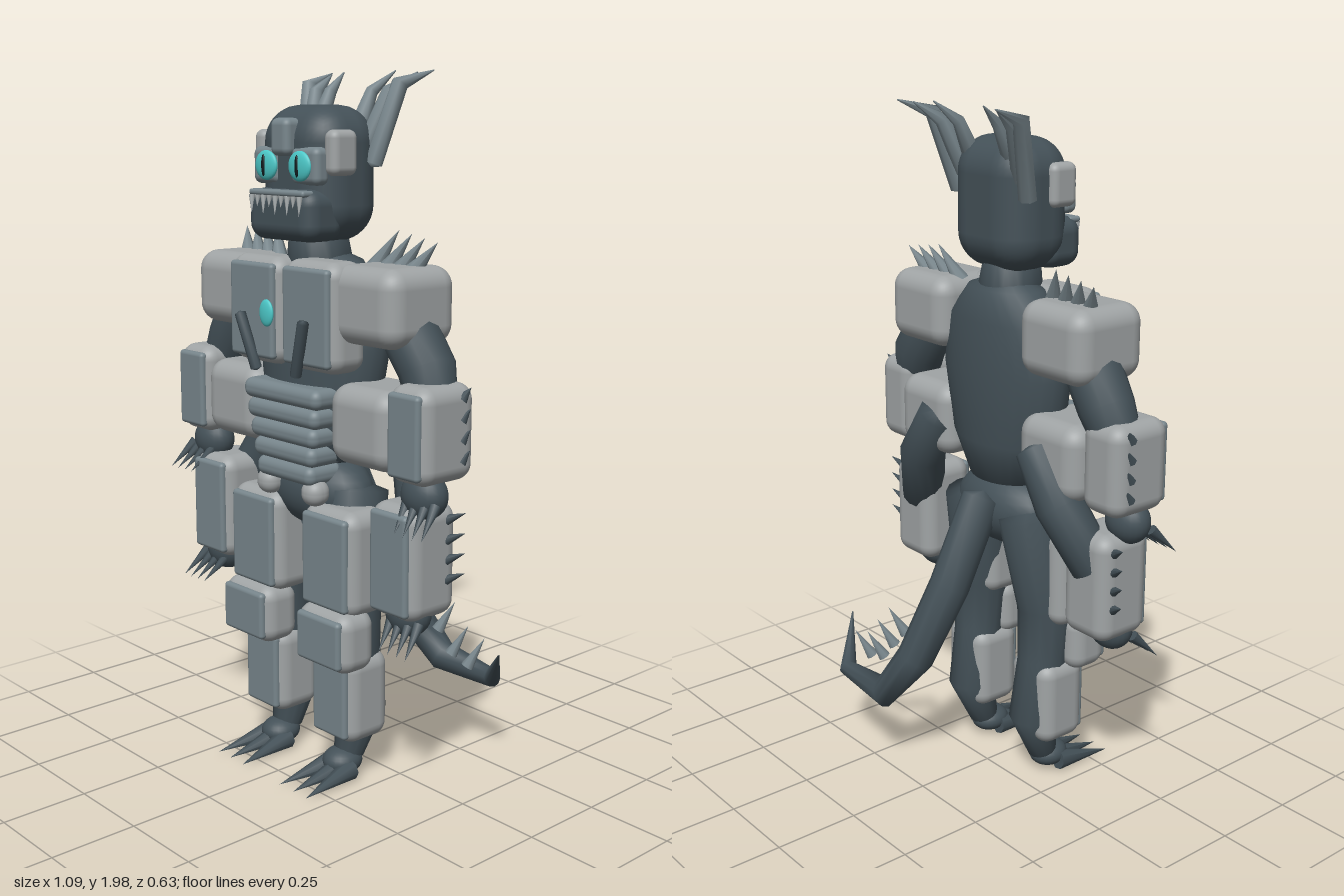
import * as THREE from 'three';
import { RoundedBoxGeometry } from 'three/addons/geometries/RoundedBoxGeometry.js';

const mat = (name, color) => Object.assign(new THREE.MeshStandardMaterial({ color }), { name });

export function createModel() {
  const skin = mat('dark skin', 0x445158);
  const armor = mat('light armour', 0xa0a4a5);
  const panel = mat('armour panel', 0x77858b);
  const glow = mat('cyan', 0x4cc8c8);
  const pupil = mat('pupil black', 0x10191c);
  const tooth = mat('tooth', 0xb9bfc0);
  const model = new THREE.Group();
  model.name = 'armouredCreature';

  const add = (name, geo, material) => {
    const m = new THREE.Mesh(geo, material);
    m.name = name;
    model.add(m);
    return m;
  };

  // Rounded block given by its ranges on each axis
  const block = (name, material, [x0, x1], [y0, y1], [z0, z1], r = 0.03) => {
    const w = Math.abs(x1 - x0), h = y1 - y0, d = z1 - z0;
    const m = add(name, new RoundedBoxGeometry(w, h, d, 4, Math.min(r, w / 2.01, h / 2.01, d / 2.01)), material);
    m.position.set((x0 + x1) / 2, (y0 + y1) / 2, (z0 + z1) / 2);
    return m;
  };

  // Armour block with a darker plate on its front
  const plated = (name, s, [x0, x1], y, z, r = 0.035) => {
    block(name, armor, [s * x0, s * x1], y, z, r);
    const b = 0.018;
    block(name + 'Panel', panel, [s * (x0 + b), s * (x1 - b)], [y[0] + b, y[1] - b], [z[1] - 0.02, z[1] + 0.006], 0.012);
  };

  const ball = (name, material, [x, y, z], [a, b, c]) => {
    const m = add(name, new THREE.SphereGeometry(1, 24, 16), material);
    m.scale.set(a, b, c);
    m.position.set(x, y, z);
    return m;
  };

  // Cone from a base point to a tip
  const spike = (name, material, base, tip, r) => {
    const a = new THREE.Vector3(...base), d = new THREE.Vector3(...tip).sub(a);
    const m = add(name, new THREE.ConeGeometry(r, d.length(), 8), material);
    m.position.copy(a).addScaledVector(d, 0.5);
    m.quaternion.setFromUnitVectors(new THREE.Vector3(0, 1, 0), d.normalize());
    return m;
  };

  // Tapered limb through [x, y, z, radius, depth ratio] stations, with domed ends
  const limb = (name, material, stations, sides = 14) => {
    const st = stations.map(([x, y, z, r, k = 1]) => ({ p: new THREE.Vector3(x, y, z), r, k }));
    const cap = (e, n) => ({ p: e.p.clone().add(e.p.clone().sub(n.p).setLength(e.r * 0.35 + 0.001)), r: 0.0005, k: e.k });
    const rings = [cap(st[0], st[1]), ...st, cap(st.at(-1), st.at(-2))];
    const pos = [], idx = [];
    rings.forEach((ring, i) => {
      const t = rings[Math.min(i + 1, rings.length - 1)].p.clone().sub(rings[Math.max(i - 1, 0)].p).normalize();
      const u = t.clone().cross(new THREE.Vector3(0, 0, 1)).normalize(), v = t.clone().cross(u);
      for (let j = 0; j < sides; j++) {
        const a = (j / sides) * Math.PI * 2;
        const q = ring.p.clone().addScaledVector(u, Math.cos(a) * ring.r).addScaledVector(v, Math.sin(a) * ring.r * ring.k);
        pos.push(q.x, q.y, q.z);
        if (i) {
          const n = (j + 1) % sides, lo = (i - 1) * sides, hi = i * sides;
          idx.push(lo + j, lo + n, hi + j, lo + n, hi + n, hi + j);
        }
      }
    });
    const g = new THREE.BufferGeometry();
    g.setAttribute('position', new THREE.Float32BufferAttribute(pos, 3));
    g.setIndex(idx);
    g.computeVertexNormals();
    return add(name, g, material);
  };

  // Torso, neck and pelvis
  limb('torso', skin, [[0, 0.93, 0.09, 0.14, 0.75], [0, 1.05, 0.08, 0.2, 0.62], [0, 1.25, 0.07, 0.24, 0.5],
    [0, 1.39, 0.07, 0.215, 0.5], [0, 1.48, 0.07, 0.13, 0.7]], 28);
  limb('neck', skin, [[0, 1.42, 0.08, 0.1], [0, 1.56, 0.09, 0.08]], 20);
  ball('pelvis', skin, [0, 0.83, 0.08], [0.19, 0.115, 0.11]);

  // Belly bands
  for (let i = 0; i < 5; i++) {
    const w = 0.16 - i * 0.01, y = 1.145 - i * 0.055;
    block('bellyBand', panel, [-w, w], [y - 0.057, y], [0.1, 0.24 - i * 0.003], 0.025);
  }
  ball('chestGem', glow, [0, 1.345, 0.275], [0.028, 0.037, 0.01]);

  // Head and muzzle
  block('head', skin, [-0.15, 0.15], [1.53, 1.895], [-0.035, 0.205], 0.1);
  block('muzzle', skin, [-0.135, 0.135], [1.535, 1.675], [0.1, 0.24], 0.045);
  block('upperLip', panel, [-0.115, 0.115], [1.655, 1.672], [0.2, 0.242], 0.008);
  block('browCrest', panel, [-0.037, 0.037], [1.76, 1.86], [0.17, 0.232], 0.02);
  for (let i = -4; i <= 4; i++) {
    const x = i * 0.025;
    spike('tooth', tooth, [x, 1.657, 0.24], [x, i % 2 ? 1.625 : 1.605, 0.243], 0.009);
  }

  for (const s of [1, -1]) {
    // Face
    block('eyeSocket', panel, [s * 0.025, s * 0.135], [1.685, 1.785], [0.16, 0.212], 0.02);
    ball('eye', glow, [s * 0.07, 1.735, 0.213], [0.045, 0.04, 0.013]);
    ball('pupil', pupil, [s * 0.07, 1.735, 0.224], [0.007, 0.029, 0.005]);
    block('templePlate', armor, [s * 0.12, s * 0.17], [1.71, 1.83], [0.09, 0.18], 0.022);

    // Horns swept up, then back
    limb('outerHorn', panel, [[s * 0.145, 1.74, 0.02, 0.026], [s * 0.185, 1.95, -0.04, 0.024], [s * 0.207, 1.985, -0.145, 0.002]], 7);
    limb('middleHorn', panel, [[s * 0.12, 1.79, 0.02, 0.028], [s * 0.15, 1.93, -0.035, 0.022], [s * 0.175, 1.98, -0.115, 0.002]], 7);
    limb('innerHorn', panel, [[s * 0.085, 1.83, 0.02, 0.028], [s * 0.085, 1.93, -0.03, 0.018], [s * 0.105, 1.985, -0.1, 0.002]], 7);

    // Chest armour and ribs
    plated('chestPlate', s, [0.003, 0.225], [1.19, 1.49], [0.1, 0.235], 0.045);
    limb('chestRib', skin, [[s * 0.135, 1.33, 0.26, 0.016], [s * 0.085, 1.18, 0.245, 0.016]], 8);
    block('hipPlate', armor, [s * 0.06, s * 0.135], [0.81, 0.885], [0.15, 0.225], 0.035);

    // Shoulder guards for both pairs of arms
    block('shoulderGuard', armor, [s * 0.16, s * 0.42], [1.275, 1.485], [-0.04, 0.21], 0.055);
    block('lowerShoulderGuard', armor, [s * 0.15, s * 0.395], [0.945, 1.165], [-0.03, 0.2], 0.055);
    for (let i = 0; i < 4; i++) {
      const x = 0.2 + i * 0.048;
      spike('shoulderSpike', panel, [s * x, 1.465, 0.065], [s * (x + 0.055), 1.57 - i * 0.008, 0.025], 0.026);
    }

    // Upper arm pair
    limb('upperArm', skin, [[s * 0.31, 1.37, 0.08, 0.08], [s * 0.41, 1.22, 0.07, 0.078], [s * 0.465, 1.08, 0.09, 0.06]]);
    plated('forearmGuard', s, [0.38, 0.53], [0.935, 1.195], [0, 0.2], 0.045);
    // Lower arm pair
    limb('lowerUpperArm', skin, [[s * 0.22, 1.07, 0, 0.065], [s * 0.31, 0.93, 0, 0.07], [s * 0.39, 0.76, 0.06, 0.065]]);
    plated('lowerForearmGuard', s, [0.305, 0.48], [0.555, 0.87], [0.01, 0.19], 0.045);

    // Hands, claws and forearm spikes
    for (const [x, y, out] of [[0.455, 0.9, 0.53], [0.4, 0.565, 0.475]]) {
      ball('hand', skin, [s * x, y, 0.12], [0.07, 0.065, 0.055]);
      for (let i = 0; i < 4; i++) {
        const cx = x - 0.035 + i * 0.033;
        spike('claw', skin, [s * cx, y - 0.015, 0.145], [s * (cx + 0.025), y - 0.09, 0.22], 0.016);
      }
      for (let i = 0; i < 4; i++) {
        const sy = y + 0.09 + i * 0.055;
        spike('forearmSpike', skin, [s * (out - 0.01), sy, 0.055], [s * (out + (out < 0.5 ? 0.05 : 0.005)), sy + 0.03, 0.035], 0.017);
      }
    }

    // Legs and leg armour
    limb('leg', skin, [[s * 0.12, 0.84, 0.06, 0.095], [s * 0.15, 0.55, 0.1, 0.085], [s * 0.15, 0.38, 0.09, 0.075],
      [s * 0.145, 0.2, 0.055, 0.07], [s * 0.14, 0.07, 0.1, 0.045]]);
    plated('thighGuard', s, [0.05, 0.265], [0.515, 0.815], [0.05, 0.21], 0.045);
    plated('kneeGuard', s, [0.06, 0.272], [0.36, 0.535], [0.11, 0.24], 0.045);
    plated('shinGuard', s, [0.065, 0.238], [0.13, 0.39], [0.025, 0.185], 0.045);
    ball('foot', skin, [s * 0.14, 0.05, 0.125], [0.055, 0.04, 0.06]);
    for (const dx of [-0.055, 0.005, 0.06]) {
      spike('toe', skin, [s * (0.14 + dx * 0.65), 0.035, 0.13], [s * (0.14 + dx), 0.012, 0.315], 0.032);
    }
  }

  // Tail with a hooked tip and a row of spikes
  limb('tail', skin, [[0, 0.87, -0.02, 0.06], [0.01, 0.62, -0.135, 0.06], [0.06, 0.4, -0.225, 0.055],
    [0.15, 0.265, -0.275, 0.045], [0.36, 0.26, -0.265, 0.027], [0.468, 0.385, -0.17, 0.002]], 10);
  [[0.14, 0.44], [0.2, 0.38], [0.255, 0.32], [0.32, 0.3]].forEach(([x, y]) =>
    spike('tailSpike', panel, [x, y, -0.2], [x + 0.03, y + 0.085, -0.24], 0.019));

  return model;
}
